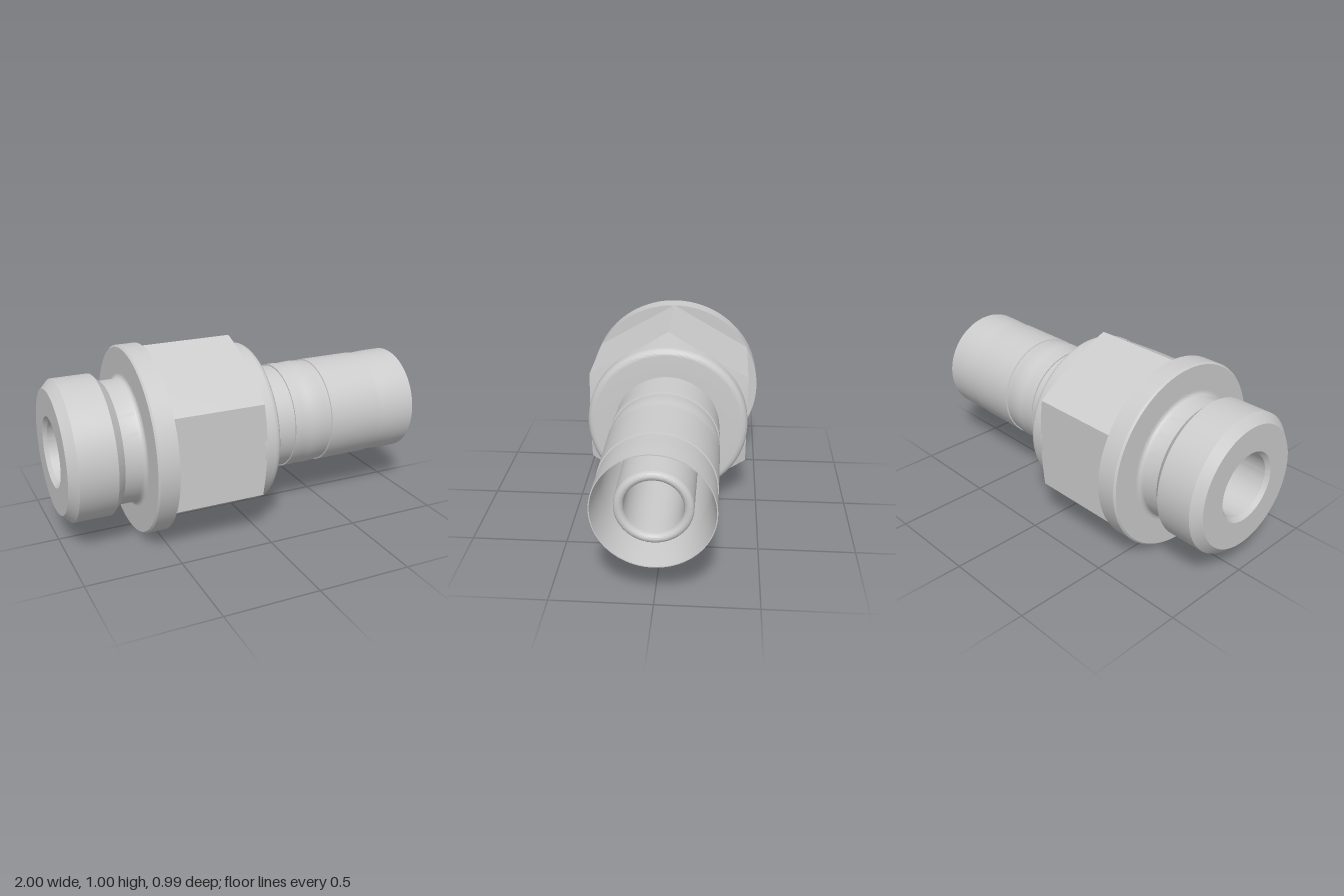
import * as THREE from 'three';
import { toCreasedNormals } from 'three/addons/utils/BufferGeometryUtils.js';

const AXIS_Y = 0.498;
const CREASE = THREE.MathUtils.degToRad(25);

// Points of a rounded corner: centre (x, r), radius, start and end angle in degrees
function arc(x, r, radius, from, to, steps = 8) {
  return Array.from({ length: steps + 1 }, (_, i) => {
    const a = THREE.MathUtils.degToRad(from + (to - from) * i / steps);
    return [x + radius * Math.cos(a), r + radius * Math.sin(a)];
  });
}

// Lathe around the x axis from [x, radius] pairs
function turn(profile, segments = 120) {
  return new THREE.LatheGeometry(profile.map(([x, r]) => new THREE.Vector2(r, x)), segments);
}

export function createModel() {
  const group = new THREE.Group();
  const material = new THREE.MeshStandardMaterial({ color: 0xcccccc });

  function add(name, geometry) {
    geometry.rotateZ(-Math.PI / 2);
    const mesh = new THREE.Mesh(toCreasedNormals(geometry, CREASE), material);
    mesh.name = name;
    mesh.position.y = AXIS_Y;
    group.add(mesh);
  }

  // Threaded end with undercut, bore chamfer on its face
  add('threadedEnd', turn([
    [-0.98, 0.165], [-1, 0.185], [-1, 0.325], [-0.955, 0.37], [-0.76, 0.37], [-0.715, 0.325],
    ...arc(-0.63, 0.35, 0.025, 270, 360), [-0.605, 0.36],
  ]));

  // Round flange
  add('flange', turn([
    [-0.605, 0.34], [-0.605, 0.488], [-0.596, 0.497], [-0.495, 0.497], [-0.495, 0.4],
  ]));

  // Hexagon whose right end is cut by a shallow cone
  const hex = turn([[-0.5, 1], [-0.25, 1], [0, 1], [0.006, 0.42]], 144);
  const pos = hex.attributes.position;
  const sixth = Math.PI / 3;
  for (let i = 0; i < pos.count; i++) {
    const x = pos.getX(i), z = pos.getZ(i), y = pos.getY(i);
    if (Math.hypot(x, z) < 0.9) continue;
    const angle = Math.atan2(x, z) + 2 * Math.PI + sixth / 2;
    const radius = 0.431 / Math.cos((angle % sixth) - sixth / 2);
    const end = 0.004 - (radius - 0.431) * 0.3;
    pos.setXYZ(i, x * radius, y === 0 ? end : y, z * radius);
  }
  add('hexagon', hex);

  // Rounded collar
  add('collar', turn([
    [-0.01, 0.434], ...arc(0.055, 0.399, 0.035, 90, 0), [0.09, 0.27],
  ]));

  // Thin-walled sleeve with shallow bands, open at the right
  add('sleeve', turn([
    [0.08, 0.282], [0.25, 0.282], [0.25, 0.289], [0.308, 0.289], [0.31, 0.283], [0.32, 0.283],
    [0.35, 0.288], [0.39, 0.29], [0.43, 0.288], [0.465, 0.283], [0.472, 0.283], [0.474, 0.29],
    [0.78, 0.29], [0.782, 0.284], [0.86, 0.288], [0.91, 0.29], [1, 0.29],
    [1, 0.285], [0.78, 0.262], [0.3, 0.26], [0.3, 0.17],
  ]));

  // Inner tube with a rounded tip
  add('innerTube', turn([
    [0.29, 0.184], ...arc(0.947, 0.161, 0.023, 90, 0), ...arc(0.947, 0.161, 0.023, 0, -90),
    [0.9, 0.138], [0.3, 0.138],
  ]));

  // Through bore
  add('bore', turn([[0.31, 0.138], [0.3, 0.138], [0.3, 0.165], [-0.98, 0.165]]));

  return group;
}
